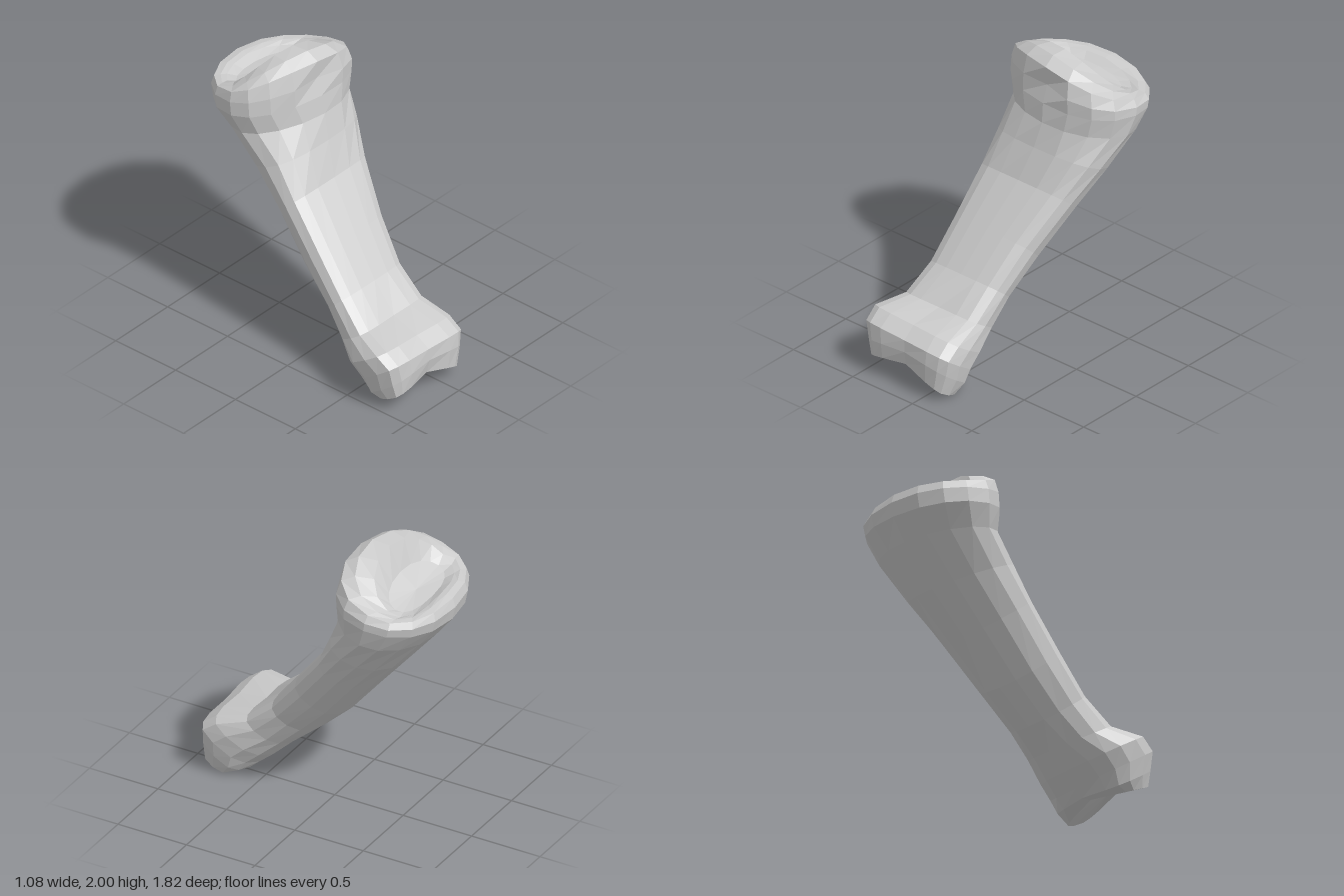
import * as THREE from 'three';

const SIDES = 16;

// One cross-section ring. front/back are [z, y] of its front and back edge, x0..x1 its width.
// p: squareness, crest: moves the widest line forward, sag: drop of the sides,
// yaw: swing of the front edge, groove: hollow in the front,
// notch: hollow between the two end knuckles, tilt: sideways lean, dent: small front pit.
function ring(front, back, x0, x1,
  { p = 2.2, crest = 0, sag = 0, yaw = 0, groove = 0, notch = 0, tilt = 0, dent = 0 } = {}) {
  const pts = [];
  const soft = (c) => Math.sign(c) * Math.pow(Math.abs(c), 2 / p);
  for (let i = 0; i < SIDES; i++) {
    const a = (i / SIDES) * Math.PI * 2;
    const u = soft(Math.cos(a)), v = soft(Math.sin(a));
    const mid = 1 - Math.abs(u);
    let w = v + crest * (1 - v * v);
    if (v > 0) w *= 1 - groove * mid;
    const z = (front[0] + back[0]) / 2 + (w * (front[0] - back[0])) / 2;
    const y = (front[1] + back[1]) / 2 + (w * (front[1] - back[1])) / 2;
    pts.push(new THREE.Vector3(
      (x0 + x1) / 2 + (u * (x1 - x0)) / 2,
      y - sag * u * u - tilt * u + 0.77 * notch * mid,
      z + yaw * u * Math.max(v, 0) - 0.65 * notch * mid - (i === SIDES / 4 ? dent : 0),
    ));
  }
  return pts;
}

// Faceted skin over rings listed from bottom to top, with optional cap centres
function loft(rings, bottom, top) {
  const out = [];
  const tri = (a, b, c) => out.push(...a.toArray(), ...b.toArray(), ...c.toArray());
  for (let i = 0; i < SIDES; i++) {
    const j = (i + 1) % SIDES;
    for (let k = 0; k + 1 < rings.length; k++) {
      const lo = rings[k], hi = rings[k + 1];
      tri(lo[i], hi[i], lo[j]);
      tri(lo[j], hi[i], hi[j]);
    }
    const last = rings[rings.length - 1];
    if (bottom) tri(bottom, rings[0][i], rings[0][j]);
    if (top) tri(top, last[j], last[i]);
  }
  const g = new THREE.BufferGeometry();
  g.setAttribute('position', new THREE.Float32BufferAttribute(out, 3));
  g.computeVertexNormals();
  return g;
}

export function createModel() {
  const group = new THREE.Group();
  group.name = 'toeBone';
  const bone = new THREE.MeshStandardMaterial({ color: 0xcccccc });
  bone.name = 'boneGrey';
  const add = (name, geometry) => {
    const m = new THREE.Mesh(geometry, bone);
    m.name = name;
    group.add(m);
  };

  // Rings shared between neighbouring parts
  const lowerNeck = ring([0.6, 0.48], [0.3, 0.29], -0.46, 0.17, { p: 2.6, crest: 0.3, groove: 0.12 });
  const upperNeck = ring([-0.17, 1.57], [-0.78, 1.46], -0.39, 0.51, { p: 2, yaw: 0.03 });
  const rim = ring([-0.3, 2.0], [-0.84, 1.76], -0.37, 0.45, { sag: 0.09, yaw: 0.05, tilt: 0.03 });

  // Lower end: two knuckles with a shallow groove between them
  add('lowerKnuckles', loft([
    ring([0.92, 0.12], [0.7, 0.01], -0.47, 0.14, { p: 3.6, notch: 0.07, tilt: 0.03 }),
    ring([0.93, 0.26], [0.6, 0.03], -0.5, 0.18, { p: 3.2, crest: 0.1, groove: 0.1, notch: 0.03, tilt: 0.01 }),
    ring([0.91, 0.37], [0.52, 0.1], -0.53, 0.2, { p: 3, crest: 0.3, groove: 0.1, tilt: 0.02 }),
    ring([0.82, 0.44], [0.42, 0.18], -0.54, 0.2, { p: 2.8, crest: 0.3, groove: 0.12, tilt: 0.02 }),
    lowerNeck,
  ], new THREE.Vector3(-0.17, 0.17, 0.81)));

  // Slanted shaft, widest near its front and narrowing to a blunt back ridge
  add('shaft', loft([
    lowerNeck,
    ring([0.4, 0.64], [0.14, 0.42], -0.42, 0.18, { crest: 0.4 }),
    ring([0.2, 0.89], [-0.08, 0.63], -0.4, 0.24, { crest: 0.4 }),
    ring([-0.03, 1.18], [-0.33, 0.93], -0.38, 0.35, { crest: 0.4 }),
    ring([-0.12, 1.4], [-0.56, 1.2], -0.37, 0.44, { crest: 0.2 }),
    upperNeck,
  ]));

  // Upper end: flared head with a high front lip and a small front pit
  add('upperHead', loft([
    upperNeck,
    ring([-0.19, 1.7], [-0.89, 1.6], -0.44, 0.54, { yaw: 0.05, crest: 0.05 }),
    ring([-0.19, 1.82], [-0.91, 1.69], -0.44, 0.54, { sag: 0.03, yaw: 0.06, crest: 0.05, tilt: 0.02, dent: 0.04 }),
    ring([-0.22, 1.95], [-0.89, 1.75], -0.42, 0.51, { sag: 0.07, yaw: 0.06, crest: 0.05, tilt: 0.03 }),
    rim,
  ]));

  // Dished joint surface behind the rounded lip
  add('jointDish', loft([
    rim,
    ring([-0.42, 1.99], [-0.8, 1.755], -0.31, 0.38, { sag: 0.1, yaw: 0.03, tilt: 0.03 }),
    ring([-0.5, 1.82], [-0.74, 1.72], -0.24, 0.31, { sag: 0.03, tilt: 0.02 }),
  ], null, new THREE.Vector3(0.04, 1.73, -0.62)));

  return group;
}
